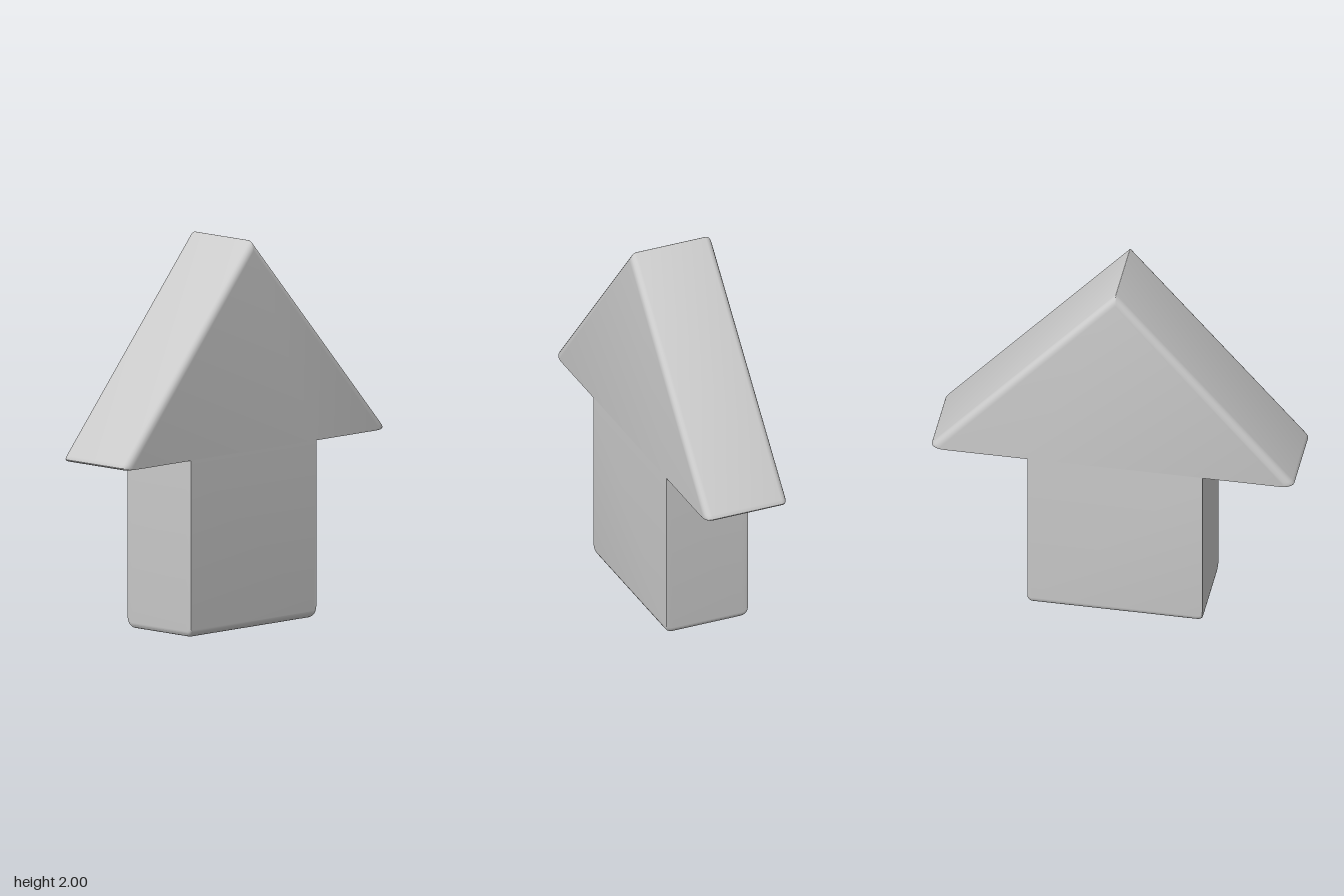
import * as THREE from 'three';
import { toCreasedNormals } from 'three/addons/utils/BufferGeometryUtils.js';

const DEPTH = 0.228;  // half thickness
const BEVEL = 0.035;  // rounding of the roof slopes and the foot

// Arrow outline, counter-clockwise; t pulls in only the slopes and the foot
function outline(t) {
  const apex = 1.999 - t / 0.655, tip = t / 0.755;
  const corners = [ // x, y, rounding length
    [-0.47, t, 0.03], [0.437, t, 0.03],
    [0.437, 0.915, 0], [0.954 - tip, 0.915, 0.04],
    [-0.017, apex, 0.005],
    [-0.957 + tip, 0.915, 0.04], [-0.47, 0.915, 0],
  ].map(([x, y, c]) => ({ p: new THREE.Vector2(x, y), c }));
  const pts = [];
  corners.forEach(({ p, c }, i) => {
    if (!c) { pts.push(p); return; }
    const n = corners.length;
    const toward = (q) => p.clone().add(q.clone().sub(p).setLength(c));
    const curve = new THREE.QuadraticBezierCurve(
      toward(corners[(i + n - 1) % n].p), p, toward(corners[(i + 1) % n].p));
    pts.push(...curve.getPoints(5));
  });
  return pts;
}

// Stack outlines from back to front and close both faces
function arrowGeometry() {
  const half = [];
  for (let k = 0; k <= 5; k++) {
    const a = (k / 5) * Math.PI / 2;
    half.push({ z: DEPTH - BEVEL + BEVEL * Math.sin(a), t: BEVEL * (1 - Math.cos(a)) });
  }
  const layers = [...half.map(({ z, t }) => ({ z: -z, t })).reverse(), ...half];
  const positions = [], index = [];
  let n = 0;
  for (const { z, t } of layers) {
    const pts = outline(t);
    n = pts.length;
    for (const p of pts) positions.push(p.x, p.y, z);
  }
  for (let k = 0; k < layers.length - 1; k++) {
    for (let i = 0; i < n; i++) {
      const a = k * n + i, b = k * n + (i + 1) % n;
      index.push(a, b, b + n, a, b + n, a + n);
    }
  }
  const front = (layers.length - 1) * n;
  for (const [a, b, c] of THREE.ShapeUtils.triangulateShape(outline(BEVEL), [])) {
    index.push(front + a, front + b, front + c, a, c, b);
  }
  const geometry = new THREE.BufferGeometry();
  geometry.setAttribute('position', new THREE.Float32BufferAttribute(positions, 3));
  geometry.setIndex(index);
  return toCreasedNormals(geometry, 0.6);
}

export function createModel() {
  const group = new THREE.Group();
  group.name = 'upArrow';
  const body = new THREE.Mesh(arrowGeometry(), new THREE.MeshStandardMaterial({ color: 0xcccccc }));
  body.name = 'arrowBody';
  group.add(body);
  return group;
}
